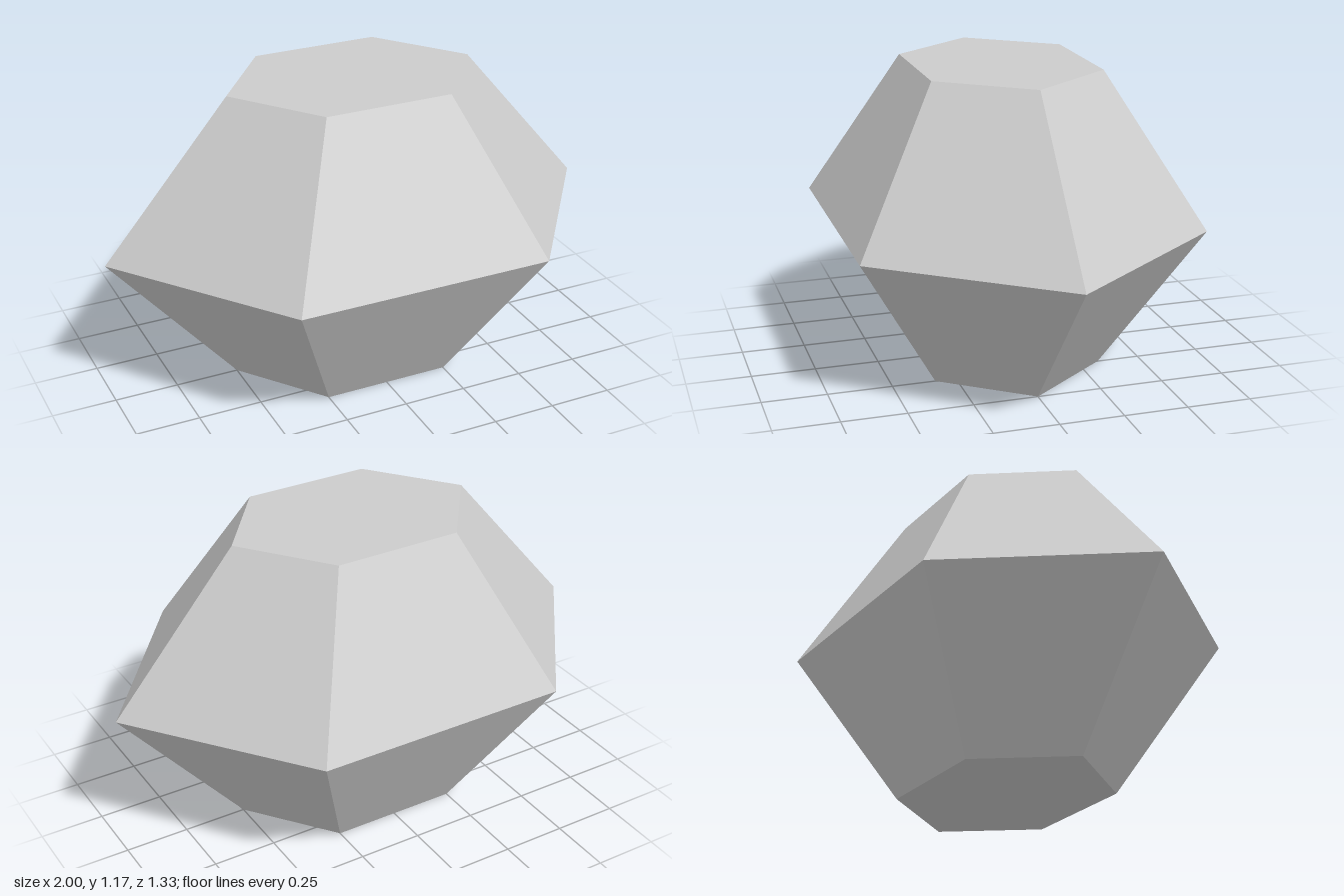
import * as THREE from 'three';

export function createModel() {
  const stone = new THREE.MeshStandardMaterial({ color: 0xcccccc, flatShading: true });
  stone.name = 'light grey stone';

  const height = 1.175;
  const halfDepth = 0.663;

  // Six-sided stone: flat base, wide girdle, flat top
  const profile = [
    [0, 0], [0.5, 0], [1, height / 2], [0.5, height], [0, height],
  ].map(([r, y]) => new THREE.Vector2(r, y));

  // Corners point along x; depth is squashed
  const geometry = new THREE.LatheGeometry(profile, 6, Math.PI / 2)
    .scale(1, 1, halfDepth / Math.sin(Math.PI / 3))
    .toNonIndexed();
  geometry.computeVertexNormals();

  const body = new THREE.Mesh(geometry, stone);
  body.name = 'facetedStone';

  const model = new THREE.Group();
  model.name = 'stone';
  model.add(body);
  return model;
}
